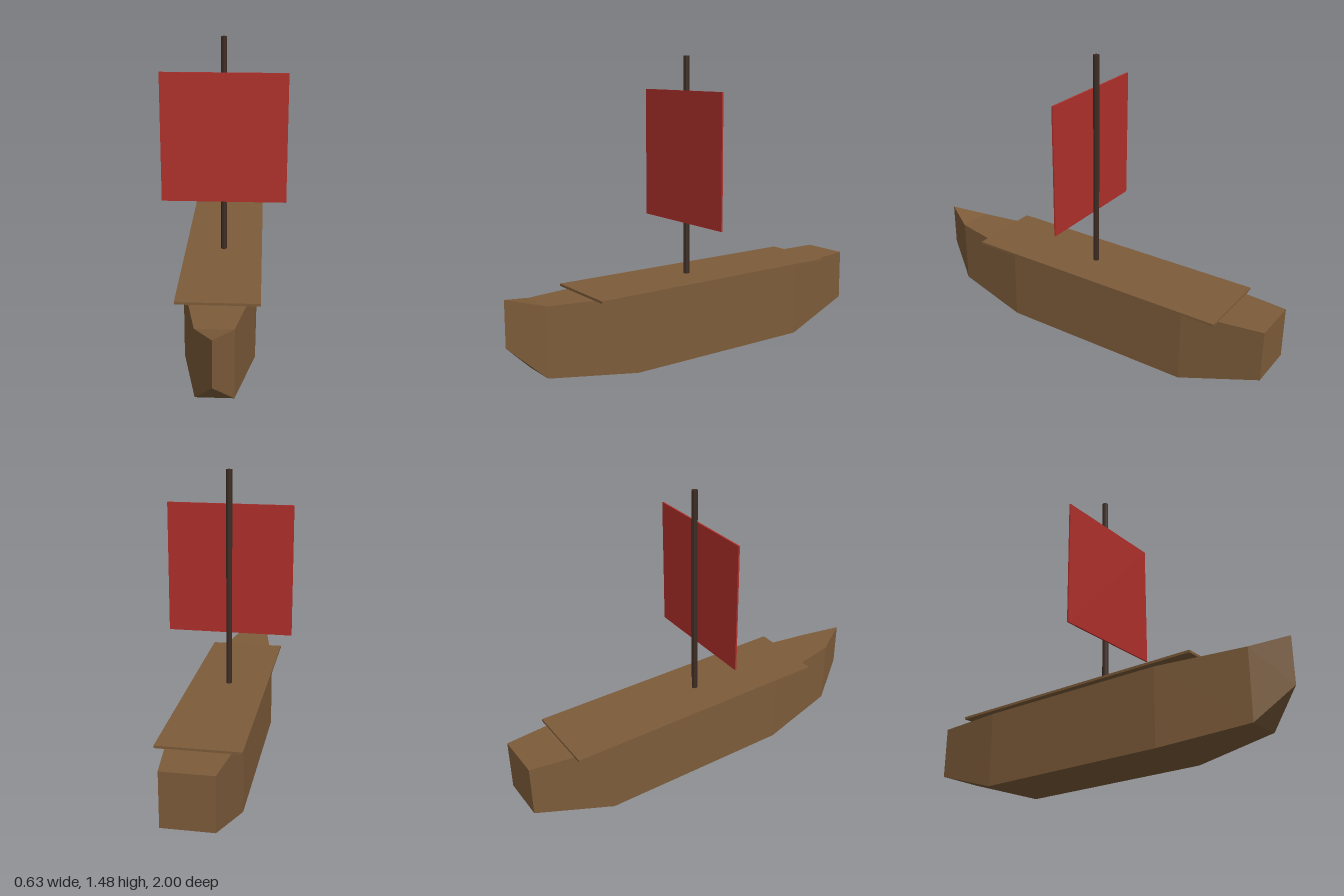
import * as THREE from 'three';

// Hull stations from stern to bow: z, half width, keel height, rim height
const STATIONS = [
  [-1, 0.12, 0.13, 0.385],
  [-0.6, 0.17, 0.005, 0.374],
  [0.41, 0.17, 0.005, 0.374],
  [0.84, 0.087, 0.05, 0.381],
  [1, 0, 0.2, 0.418],
];

function hullGeometry() {
  const pos = [];
  const tri = (a, b, c) => pos.push(...a, ...b, ...c);
  const quad = (a, b, c, d) => { tri(a, b, c); tri(a, c, d); };
  // Corners: bottom right, bottom left, top left, top right
  const rings = STATIONS.map(([z, w, lo, hi]) => [[-w, Math.max(lo - 0.005, 0), z], [w, Math.max(lo - 0.005, 0), z], [w, hi, z], [-w, hi, z]]);
  for (let i = 0; i < rings.length - 1; i++) {
    const a = rings[i], b = rings[i + 1];
    const pointed = STATIONS[i + 1][1] === 0;
    for (let k = 0; k < 4; k++) {
      const n = (k + 1) % 4;
      if (pointed && k % 2 === 0) tri(a[k], a[n], b[k]);
      else quad(a[k], a[n], b[n], b[k]);
    }
  }
  // Flat transom
  const s = rings[0];
  quad(s[0], s[3], s[2], s[1]);
  const g = new THREE.BufferGeometry();
  g.setAttribute('position', new THREE.Float32BufferAttribute(pos, 3));
  g.computeVertexNormals();
  return g;
}

export function createModel() {
  const group = new THREE.Group();
  const material = (name, color) => {
    const m = new THREE.MeshStandardMaterial({ color, flatShading: true });
    m.name = name;
    return m;
  };
  const wood = material('wood', 0x7d5c3a);
  const darkWood = material('dark wood', 0x3e2c24);
  const red = material('red cloth', 0xb0302b);

  const add = (name, geometry, mat, x = 0, y = 0, z = 0) => {
    const mesh = new THREE.Mesh(geometry, mat);
    mesh.name = name;
    mesh.position.set(x, y, z);
    group.add(mesh);
  };

  add('hull', hullGeometry(), wood);
  // Thin deck plate overhanging the sides
  add('deck', new THREE.BoxGeometry(0.39, 0.012, 1.4), wood, 0, 0.384, -0.082);
  add('mast', new THREE.CylinderGeometry(0.015, 0.015, 1.1, 8), darkWood, 0, 0.93, 0);
  // Square sail hung just ahead of the mast
  add('sail', new THREE.BoxGeometry(0.626, 0.656, 0.008), red, 0, 0.983, 0.025);
  return group;
}
